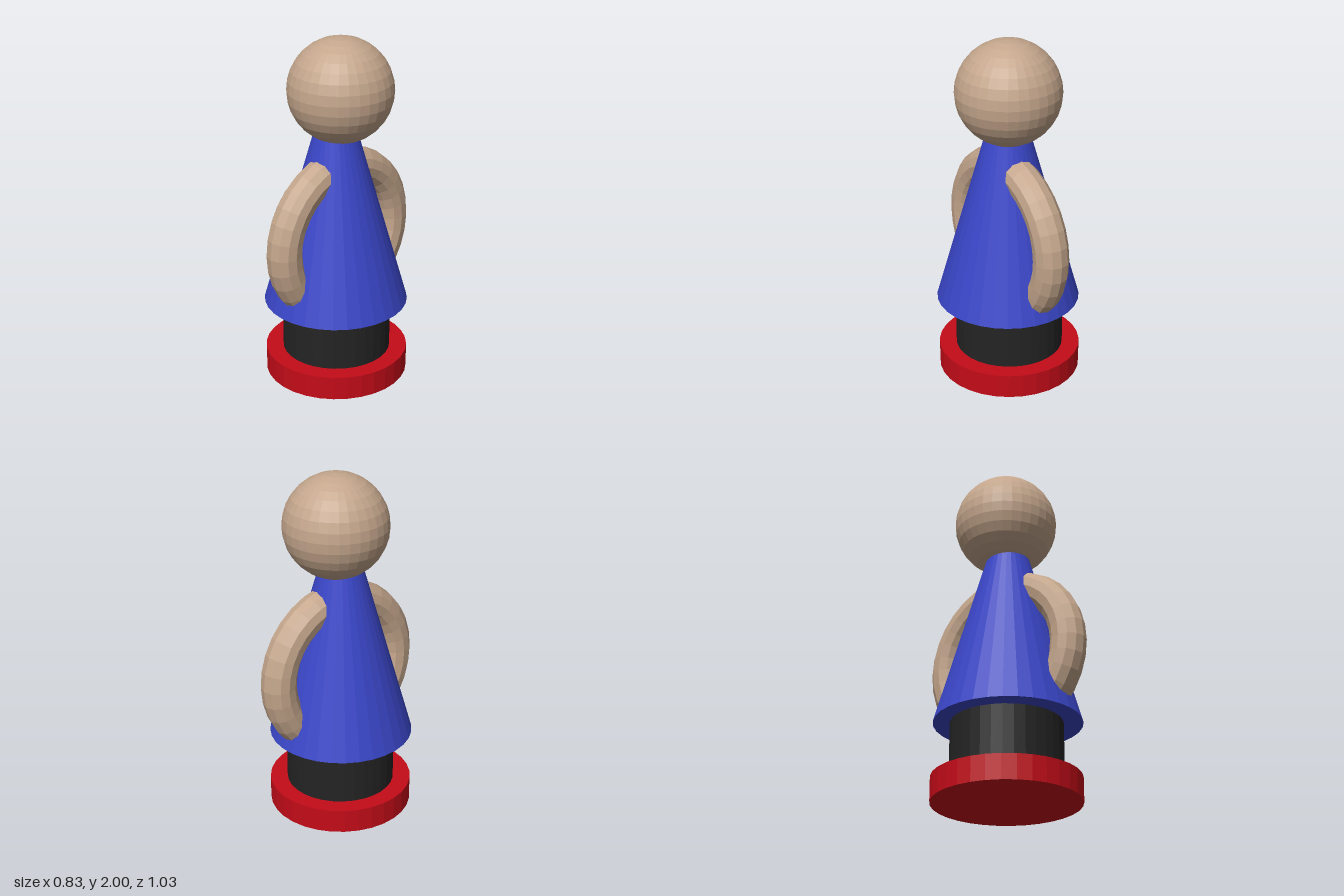
import * as THREE from 'three';

const paint = (color) => new THREE.MeshStandardMaterial({ color, flatShading: true });

export function createModel() {
  const group = new THREE.Group();
  const skin = paint(0xc4a68c);

  const add = (name, geometry, material, x, y, z) => {
    const mesh = new THREE.Mesh(geometry, material);
    mesh.name = name;
    mesh.position.set(x, y, z);
    group.add(mesh);
    return mesh;
  };

  // Round base and the dark column standing on it
  add('base', new THREE.CylinderGeometry(0.412, 0.412, 0.14, 32), paint(0xc40c18), -0.004, 0.07, 0.01);
  add('legs', new THREE.CylinderGeometry(0.312, 0.312, 0.36, 32), paint(0x242424), -0.004, 0.31, 0.01);

  // Robe: a full cone whose tip is buried in the head
  add('robe', new THREE.ConeGeometry(0.412, 1.44, 32), paint(0x3a46c8), 0, 1.17, 0.017);

  // Head
  add('head', new THREE.SphereGeometry(0.296, 32, 16), skin, 0.012, 1.704, -0.008);

  // Arms: one upright ring through the body, slightly askew
  const arms = add('arms', new THREE.TorusGeometry(0.415, 0.1, 12, 32), skin, 0.01, 0.85, 0.002);
  arms.rotation.set(0, Math.PI / 2 + 0.02, 0.0);
  arms.rotation.z = 0;
  arms.rotateX(0.015);

  return group;
}
